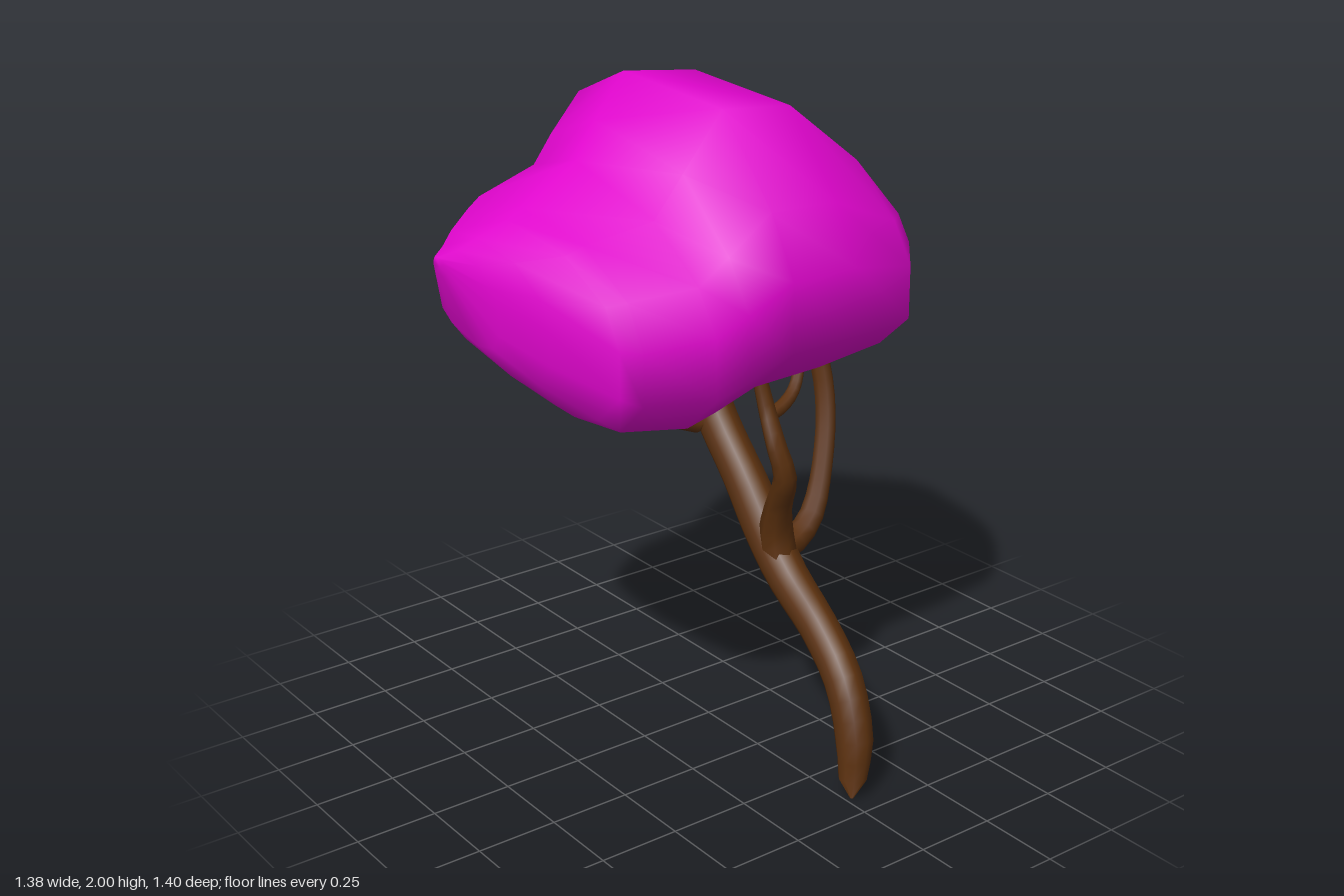
import * as THREE from 'three';

const bark = new THREE.MeshStandardMaterial({ color: 0x5a300e });
const leaf = new THREE.MeshStandardMaterial({ color: 0xdf05cc });

// Tapered tube along points; radii are spread evenly over its length, both tips close.
function limb(name, points, radii, segments = 16, sides = 8) {
  const curve = new THREE.CatmullRomCurve3(points.map((p) => new THREE.Vector3(...p)));
  const geo = new THREE.TubeGeometry(curve, segments, 1, sides);
  const pos = geo.attributes.position;
  const v = new THREE.Vector3();
  for (let i = 0; i <= segments; i++) {
    const centre = curve.getPointAt(i / segments);
    const f = (i / segments) * (radii.length - 1);
    const k = Math.min(Math.floor(f), radii.length - 2);
    let r = THREE.MathUtils.lerp(radii[k], radii[k + 1], f - k);
    if (i === 0 || i === segments) r = 0.005;
    for (let j = 0; j <= sides; j++) {
      const n = i * (sides + 1) + j;
      v.fromBufferAttribute(pos, n).sub(centre).multiplyScalar(r).add(centre);
      pos.setXYZ(n, v.x, v.y, v.z);
    }
  }
  const mesh = new THREE.Mesh(geo, bark);
  mesh.name = name;
  return mesh;
}

// Unit cross-sections of the crown (u to the front, v up): upright and leaning back.
const upright = [[1, -0.55], [1, 0], [0.85, 0.45], [0.4, 0.85], [-0.3, 1], [-0.8, 0.95],
  [-1, 0.4], [-0.98, -0.15], [-0.9, -0.5], [-0.6, -0.75], [0.25, -1], [0.75, -0.92]];
const leaning = [[1, -0.6], [1, -0.1], [0.82, 0.32], [0.42, 0.92], [-0.43, 1], [-0.86, 0.76],
  [-1, 0.45], [-0.95, -0.1], [-0.78, -0.38], [-0.3, -0.73], [0.2, -1], [0.7, -0.94]];

// Slices of the crown: x, top, bottom, front z, back z, lean, slope of the upper front.
const slices = [
  [-0.69, 1.54, 1.49, -0.33, -0.4, 0, 0],
  [-0.66, 1.57, 1.31, -0.1, -0.43, 0, 0],
  [-0.62, 1.61, 1.24, 0.1, -0.47, 0, 0],
  [-0.55, 1.66, 1.17, 0.33, -0.52, 0, 0],
  [-0.5, 1.69, 1.13, 0.37, -0.54, 0, 0],
  [-0.29, 1.79, 1.1, 0.42, -0.56, 0.6, 0.2],
  [-0.18, 1.88, 1.12, 0.425, -0.63, 0.85, 0.12],
  [-0.03, 2.0, 1.16, 0.43, -0.7, 1, 0],
  [0.21, 1.98, 1.17, 0.42, -0.65, 1, 0],
  [0.45, 1.83, 1.2, 0.38, -0.47, 0.8, 0.15],
  [0.58, 1.73, 1.3, 0.23, -0.4, 0.4, 0.2],
  [0.64, 1.62, 1.4, 0.09, -0.31, 0.3, 0.2],
  [0.69, 1.54, 1.5, -0.12, -0.18, 0.3, 0],
];

function crown() {
  const verts = [];
  const index = [];
  const n = upright.length;
  for (const [x, top, bottom, front, back, lean, slope] of slices) {
    for (let j = 0; j < n; j++) {
      const u = THREE.MathUtils.lerp(upright[j][0], leaning[j][0], lean);
      let v = THREE.MathUtils.lerp(upright[j][1], leaning[j][1], lean);
      if (u > 0 && v > 0) v *= 1 - slope;
      verts.push(x, (top + bottom) / 2 + (v * (top - bottom)) / 2,
        (front + back) / 2 + (u * (front - back)) / 2);
    }
  }
  for (let i = 0; i < slices.length - 1; i++) {
    for (let j = 0; j < n; j++) {
      const a = i * n + j;
      const b = i * n + ((j + 1) % n);
      index.push(a, a + n, b, b, a + n, b + n);
    }
  }
  // Close both ends with a fan
  const last = (slices.length - 1) * n;
  const endA = verts.length / 3;
  [slices[0], slices[slices.length - 1]].forEach(([x, t, b, f, k]) =>
    verts.push(x, (t + b) / 2, (f + k) / 2));
  for (let j = 0; j < n; j++) {
    const k = (j + 1) % n;
    index.push(endA, j, k, endA + 1, last + k, last + j);
  }
  const geo = new THREE.BufferGeometry();
  geo.setAttribute('position', new THREE.Float32BufferAttribute(verts, 3));
  geo.setIndex(index);
  geo.computeVertexNormals();
  const mesh = new THREE.Mesh(geo, leaf);
  mesh.name = 'crown';
  return mesh;
}

export function createModel() {
  const tree = new THREE.Group();
  tree.name = 'tree';
  tree.add(crown());

  // Leaning, S-shaped trunk
  tree.add(limb('trunk',
    [[0.02, 0.005, 0.67], [0.03, 0.06, 0.66], [0.045, 0.19, 0.645], [0.06, 0.34, 0.575],
      [0.075, 0.45, 0.45], [0.085, 0.58, 0.26], [0.09, 0.8, 0.07], [0.09, 1.0, -0.1],
      [0.1, 1.2, -0.19], [0.1, 1.34, -0.23]],
    [0.035, 0.058, 0.06, 0.06, 0.065, 0.07, 0.065, 0.065, 0.06, 0.055], 28, 10));

  // Long branch on the left side
  tree.add(limb('leftBranch',
    [[0.08, 0.61, 0.21], [0.19, 0.625, 0.19], [0.27, 0.68, 0.17], [0.36, 0.85, 0.115],
      [0.405, 1.02, 0.06], [0.395, 1.26, -0.01]],
    [0.045, 0.04, 0.033, 0.032, 0.032, 0.03]));

  // Front branch with a twig forking from it
  tree.add(limb('frontBranch',
    [[0.085, 0.56, 0.25], [0.08, 0.68, 0.23], [0.07, 0.78, 0.25], [0.05, 0.9, 0.305],
      [0.03, 1.0, 0.285], [0.03, 1.1, 0.24], [0.02, 1.24, 0.2]],
    [0.06, 0.055, 0.04, 0.035, 0.03, 0.025, 0.02]));
  tree.add(limb('frontTwig',
    [[0.03, 1.08, 0.25], [0.09, 1.095, 0.24], [0.15, 1.13, 0.22], [0.21, 1.23, 0.18]],
    [0.022, 0.02, 0.018, 0.015], 10));

  // Short branch on the right side, high on the trunk
  tree.add(limb('rightBranch',
    [[0.07, 0.95, -0.08], [-0.05, 0.985, -0.13], [-0.13, 1.02, -0.17], [-0.2, 1.11, -0.21],
      [-0.27, 1.24, -0.23]],
    [0.042, 0.036, 0.032, 0.03, 0.027], 12));
  return tree;
}
